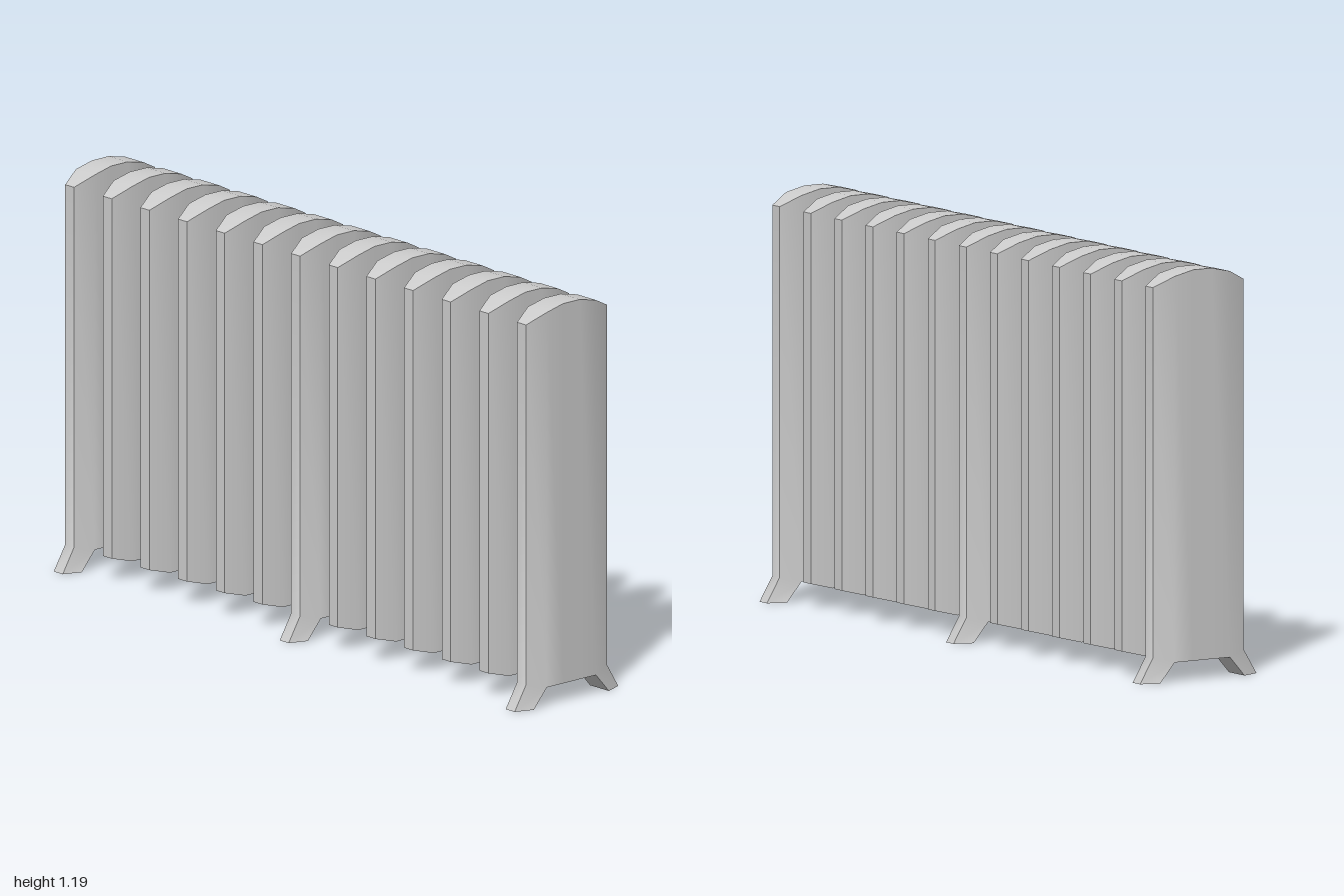
import * as THREE from 'three';
import { toCreasedNormals } from 'three/addons/utils/BufferGeometryUtils.js';

const FIN_COUNT = 13;
const SPACING = 0.16;

// Fin cross-sections along z: [z, half width, top y, bottom y]
const half = [
  [0.156, 0.019, 1.142, 0.072],
  [0.095, 0.04, 1.172, 0.057],
  [0.032, 0.04, 1.186, 0.057],
];
const stations = [...half, ...half.map(([z, ...rest]) => [-z, ...rest]).reverse()];

function pushQuad(out, a, b, c, d) {
  out.push(...a, ...b, ...c, ...a, ...c, ...d);
}

// Joins two four-cornered rings, leaving out one side if asked
function joinRings(out, A, B, skip = -1) {
  for (let j = 0; j < 4; j++) {
    const k = (j + 1) % 4;
    if (j !== skip) pushQuad(out, A[j], A[k], B[k], B[j]);
  }
}

function finGeometry(withLegs) {
  const out = [];
  const rings = stations.map(([z, w, t, b]) => [[-w, t, z], [w, t, z], [w, b, z], [-w, b, z]]);
  const last = rings.length - 1;

  // Body: tapered ends, arched top
  for (let i = 0; i < last; i++) {
    const overLeg = withLegs && (i === 0 || i === last - 1);
    joinRings(out, rings[i], rings[i + 1], overLeg ? 2 : -1);
  }
  pushQuad(out, ...[...rings[0]].reverse());
  pushQuad(out, ...rings[last]);

  // Splayed legs growing from the two bottom ends
  if (withLegs) {
    const [[zOut, wOut, , yOut], [zIn, wIn, , yIn]] = half;
    for (const s of [1, -1]) {
      const ring = (zi, yi, zo, yo) => [
        [-wIn * s, yi, zi * s], [wIn * s, yi, zi * s],
        [wOut * s, yo, zo * s], [-wOut * s, yo, zo * s],
      ];
      const foot = ring(0.145, 0, 0.2, 0);
      joinRings(out, ring(zIn, yIn, zOut, yOut), foot);
      pushQuad(out, ...foot);
    }
  }

  const geometry = new THREE.BufferGeometry();
  geometry.setAttribute('position', new THREE.Float32BufferAttribute(out, 3));
  return toCreasedNormals(geometry, 0.6);
}

export function createModel() {
  const radiator = new THREE.Group();
  radiator.name = 'radiator';
  const material = new THREE.MeshStandardMaterial({ color: 0xcccccc });
  const plain = finGeometry(false);
  const legged = finGeometry(true);

  // Row of fins; the two end fins and the middle one stand on legs
  const middle = (FIN_COUNT - 1) / 2;
  for (let i = 0; i < FIN_COUNT; i++) {
    const hasLegs = i % middle === 0;
    const fin = new THREE.Mesh(hasLegs ? legged : plain, material);
    fin.name = hasLegs ? 'finWithLegs' : 'fin';
    fin.position.x = (i - middle) * SPACING;
    radiator.add(fin);
  }
  return radiator;
}
